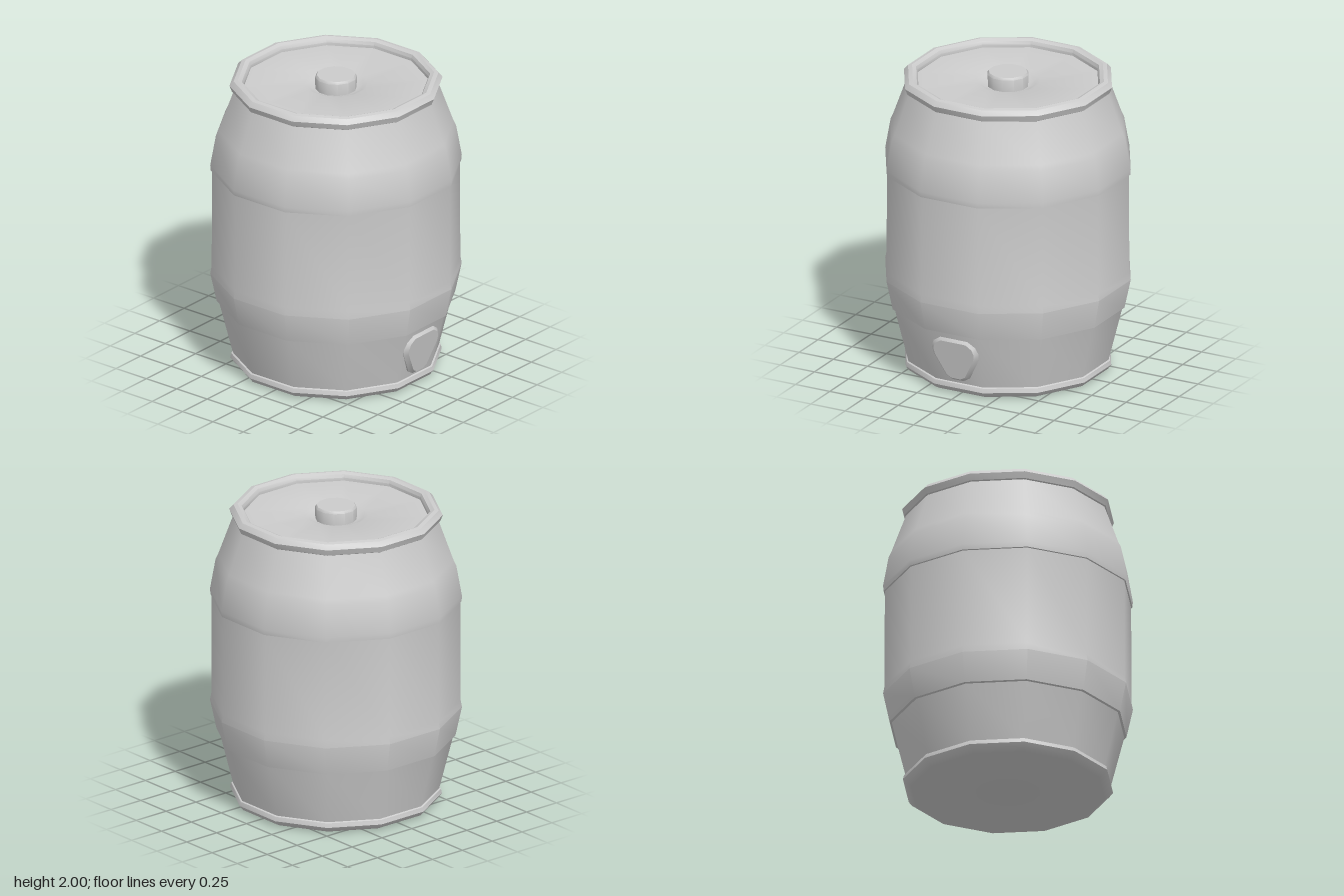
import * as THREE from 'three';
import { toCreasedNormals } from 'three/addons/utils/BufferGeometryUtils.js';

const SIDES = 12;
const CORNER = 1 / Math.cos(Math.PI / SIDES); // flat-to-flat radius -> corner radius

export function createModel() {
  const group = new THREE.Group();
  const material = new THREE.MeshStandardMaterial({ color: 0xcccccc });

  const add = (name, geometry) => {
    const mesh = new THREE.Mesh(toCreasedNormals(geometry, 0.62), material);
    mesh.name = name;
    group.add(mesh);
    return mesh;
  };

  // Twelve-sided turned part; profile points are [flat radius, y]
  const turned = (name, profile) => add(name, new THREE.LatheGeometry(
    profile.map(([r, y]) => new THREE.Vector2(r * CORNER, y)),
    SIDES, Math.PI / SIDES));

  // Barrel body: foot lip, lower band, straight belly, upper band, top rim
  turned('barrelBody', [
    [0, 0], [0.605, 0], [0.635, 0.015], [0.657, 0.045], [0.65, 0.073], [0.64, 0.078],
    [0.727, 0.44], [0.741, 0.445], [0.781, 0.64], [0.772, 0.69],
    [0.77, 1.36], [0.778, 1.363], [0.781, 1.4], [0.746, 1.605], [0.73, 1.64],
    [0.638, 1.905], [0.647, 1.91], [0.662, 1.95], [0.636, 1.98], [0.61, 1.986],
    [0.585, 1.975], [0.575, 1.955], [0.575, 1.935],
  ]);

  // Sunken lid with a shallow dish around the bung
  turned('lid', [[0.58, 1.935], [0.2, 1.935], [0.17, 1.92], [0.125, 1.905], [0, 1.905]]);

  // Bung
  turned('bung', [[0.128, 1.89], [0.13, 1.985], [0.12, 2], [0, 2]]);

  // Bevelled shield-shaped tap plate low on the left flank
  const half = [[0.1, 0.16], [0.155, 0.12], [0.172, 0.07], [0.162, 0.02],
    [0.085, -0.125], [0.04, -0.152]];
  const outline = [...half, ...half.map(([x, y]) => [-x, y]).reverse()];
  const shape = new THREE.Shape(outline.map(([x, y]) => new THREE.Vector2(x, y)));
  const plate = new THREE.ExtrudeGeometry(shape, {
    depth: 0.04, bevelEnabled: true, bevelSegments: 1,
    bevelSize: 0.024, bevelOffset: -0.024, bevelThickness: 0.024,
  });
  plate.translate(0, 0, -0.064); // front face on the local origin
  plate.rotateY(Math.PI / 2);
  plate.rotateZ(-0.165);
  add('tapPlate', plate).position.set(0.71, 0.25, 0);

  return group;
}
